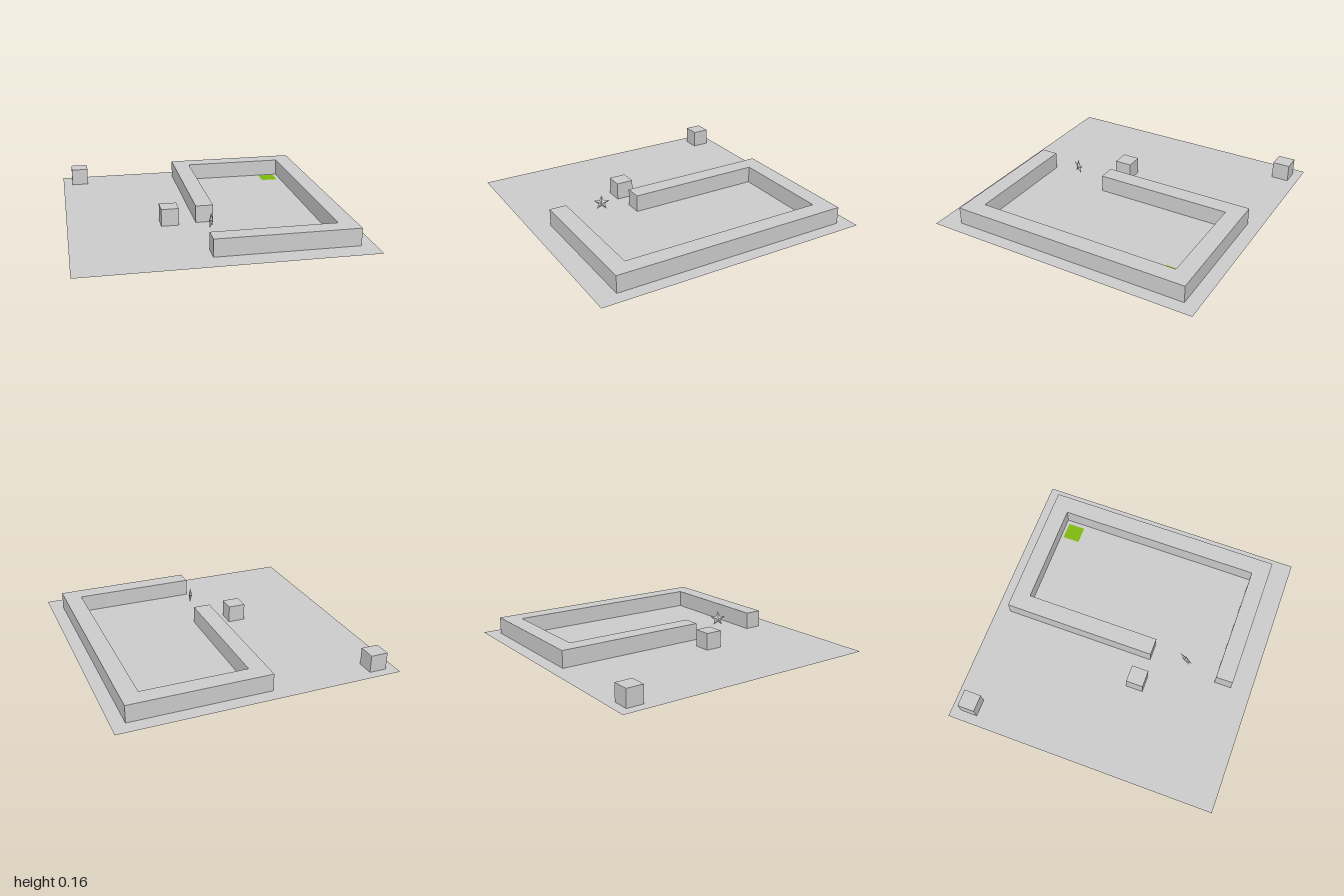
import * as THREE from 'three';

const grey = new THREE.MeshStandardMaterial({ color: 0xcccccc, flatShading: true });
const greyDouble = new THREE.MeshStandardMaterial({ color: 0xcccccc, side: THREE.DoubleSide });
const green = new THREE.MeshStandardMaterial({ color: 0x80b80c });
const UNIT = 0.125; // wall thickness, wall height and block size

function add(group, name, geometry, material, x = 0, y = 0, z = 0) {
  const mesh = new THREE.Mesh(geometry, material);
  mesh.name = name;
  mesh.position.set(x, y, z);
  group.add(mesh);
  return mesh;
}

// Five-pointed star whose two faces rise to a central peak
function starGeometry(outer, inner, halfDepth) {
  const rim = [];
  for (let i = 0; i < 10; i++) {
    const a = Math.PI / 2 + (i * Math.PI) / 5;
    const r = i % 2 ? inner : outer;
    rim.push([r * Math.cos(a), r * Math.sin(a), 0]);
  }
  const positions = [];
  rim.forEach((p, i) => {
    const q = rim[(i + 1) % 10];
    positions.push(...p, ...q, 0, 0, halfDepth);
    positions.push(...q, ...p, 0, 0, -halfDepth);
  });
  const geometry = new THREE.BufferGeometry();
  geometry.setAttribute('position', new THREE.Float32BufferAttribute(positions, 3));
  geometry.computeVertexNormals();
  return geometry;
}

export function createModel() {
  const model = new THREE.Group();
  model.name = 'walledYard';

  // Ground sheet
  add(model, 'ground', new THREE.PlaneGeometry(2, 2).rotateX(-Math.PI / 2), greyDouble);

  // Continuous wall around the yard, open on one side; outline given as x, z
  const outline = [
    [-0.095, 0.225], [-0.095, -0.9], [0.905, -0.9], [0.905, 0.85], [-0.095, 0.85],
    [-0.095, 0.725], [0.78, 0.725], [0.78, -0.775], [0.03, -0.775], [0.03, 0.225],
  ].map(([x, z]) => new THREE.Vector2(x, z));
  const wall = new THREE.ExtrudeGeometry(new THREE.Shape(outline), { depth: UNIT, bevelEnabled: false });
  wall.rotateX(Math.PI / 2);
  add(model, 'wall', wall, grey, 0, UNIT, 0);

  // Loose blocks outside the wall
  const block = new THREE.BoxGeometry(UNIT, UNIT, UNIT);
  add(model, 'cornerBlock', block, grey, -0.867, UNIT / 2, -0.87);
  add(model, 'gateBlock', block, grey, -0.283, UNIT / 2, 0.19);

  // Green floor marker in the far corner of the yard
  const marker = new THREE.PlaneGeometry(UNIT, UNIT).rotateX(-Math.PI / 2);
  add(model, 'floorMarker', marker, green, 0.687, 0.002, -0.692);

  // Floating star in the gateway
  const star = add(model, 'star', starGeometry(0.058, 0.025, 0.013), grey, -0.035, 0.107, 0.477);
  star.rotation.y = 1.12;

  return model;
}
